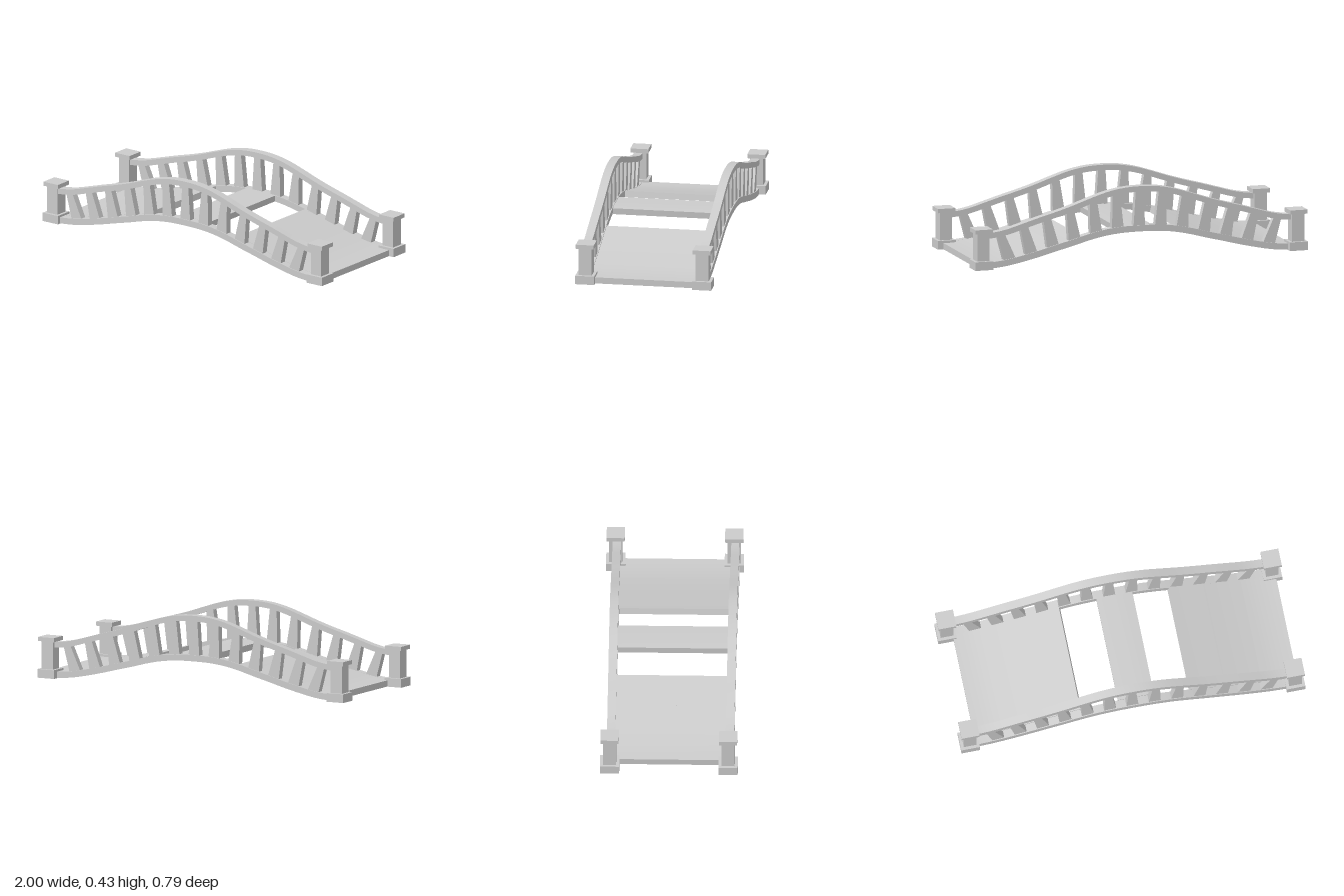
import * as THREE from 'three';
import { toCreasedNormals } from 'three/addons/utils/BufferGeometryUtils.js';

const material = new THREE.MeshStandardMaterial({ color: 0xcccccc });

// Symmetric arch: heights given every 0.1 from the middle to x = 1
function arch(heights) {
  const all = [...heights.slice(1).reverse(), ...heights];
  const spline = new THREE.SplineCurve(all.map((y, i) => new THREE.Vector2(i * 0.1 - 1, y)));
  return x => spline.getPoint((x + 1) / 2).y;
}
const deckLine = arch([0.18, 0.178, 0.168, 0.148, 0.121, 0.096, 0.07, 0.047, 0.028, 0.019, 0.018]);
const railLine = arch([0.409, 0.404, 0.385, 0.354, 0.32, 0.29, 0.263, 0.234, 0.206, 0.191, 0.19]);

function add(parent, name, geometry, x = 0, y = 0, z = 0) {
  const mesh = new THREE.Mesh(geometry, material);
  mesh.name = name;
  mesh.position.set(x, y, z);
  parent.add(mesh);
  return mesh;
}

// Extrude an outline in the xy plane from z0 to z1
function slab(points, z0, z1) {
  const shape = new THREE.Shape(points.map(([x, y]) => new THREE.Vector2(x, y)));
  const geometry = new THREE.ExtrudeGeometry(shape, { depth: z1 - z0, bevelEnabled: false });
  geometry.translate(0, 0, z0);
  return toCreasedNormals(geometry, 0.5);
}

// Curved beam of even thickness that follows an arch line
function beam(line, x0, x1, half, z0, z1) {
  const steps = Math.max(4, Math.round((x1 - x0) / 0.04));
  const upper = [], lower = [];
  for (let i = 0; i <= steps; i++) {
    const x = x0 + (x1 - x0) * i / steps;
    const slope = (line(x + 0.01) - line(x - 0.01)) / 0.02;
    const length = Math.hypot(1, slope);
    const nx = -slope / length * half, ny = half / length;
    lower.push([x - nx, line(x) - ny]);
    upper.push([x + nx, line(x) + ny]);
  }
  return slab([...lower, ...upper.reverse()], z0, z1);
}

export function createModel() {
  const bridge = new THREE.Group();
  bridge.name = 'archedBridge';

  // Deck planks, with two missing
  const deck = new THREE.Group();
  deck.name = 'deck';
  bridge.add(deck);
  for (const x of [-0.91, -0.702, -0.498, -0.076, 0.342, 0.55, 0.758]) {
    add(deck, 'plank', beam(deckLine, x, x + 0.208, 0.018, -0.31, 0.32));
  }

  // Side frames: lower beam, handrail and tapered balusters square to the arch
  for (const [name, z0, z1] of [['leftSide', 0.322, 0.37], ['rightSide', -0.355, -0.307]]) {
    const side = new THREE.Group();
    side.name = name === 'leftSide' ? 'frontRailing' : 'backRailing';
    bridge.add(side);
    add(side, 'lowerBeam', beam(deckLine, -0.95, 0.95, 0.018, z0, z1));
    add(side, 'handrail', beam(railLine, -0.95, 0.95, 0.016, z0, z1));
    for (let i = -6; i <= 6; i++) {
      const bottom = i * 0.129, top = i * 0.139;
      const outline = [[bottom - 0.036, deckLine(bottom - 0.036)], [bottom + 0.036, deckLine(bottom + 0.036)],
        [top + 0.021, railLine(top + 0.021)], [top - 0.021, railLine(top - 0.021)]];
      add(side, 'baluster', slab(outline, z0 + 0.005, z1 - 0.005));
    }
  }

  // Corner posts with base and cap
  for (const sx of [-1, 1]) {
    for (const sz of [-1, 1]) {
      const post = new THREE.Group();
      post.name = 'cornerPost';
      post.position.set(sx * 0.946, 0, sz * 0.338);
      bridge.add(post);
      add(post, 'postBase', new THREE.BoxGeometry(0.108, 0.05, 0.11), 0, 0.025);
      add(post, 'postShaft', new THREE.BoxGeometry(0.074, 0.17, 0.075), 0, 0.13);
      add(post, 'postCap', new THREE.BoxGeometry(0.104, 0.024, 0.104), 0, 0.223);
    }
  }
  return bridge;
}
